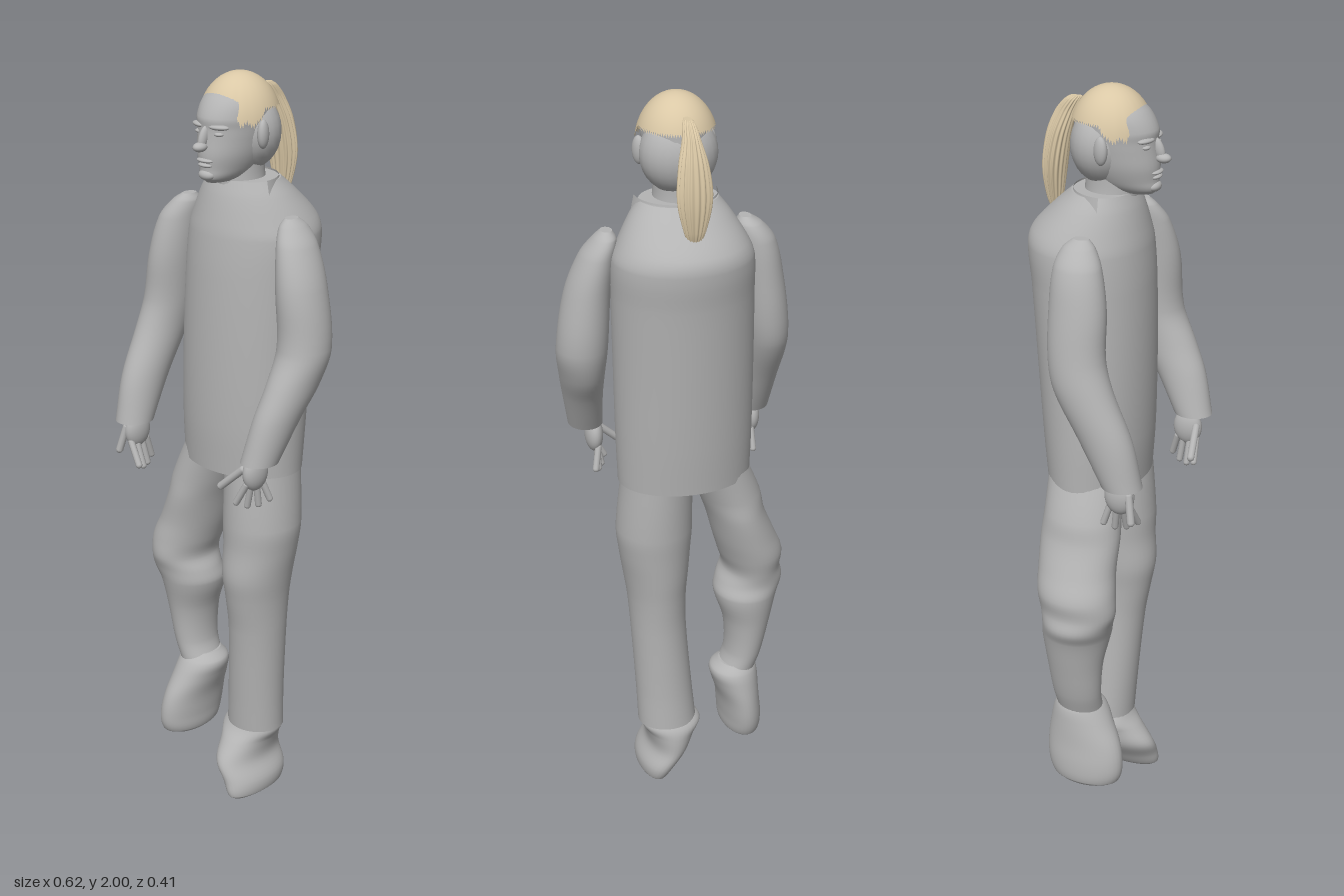
import * as THREE from 'three';

const grey = new THREE.MeshStandardMaterial({ color: 0xb4b4b4 });
grey.name = 'grey';
const blonde = new THREE.MeshStandardMaterial({ color: 0xdac8a6 });
blonde.name = 'blonde';

// Smooth curve through the sections, evaluated at height y between i and i + 1
function sample(s, i, t, k) {
  const slope = (j) => {
    const a = s[Math.max(j - 1, 0)], b = s[Math.min(j + 1, s.length - 1)];
    return (b[k] - a[k]) / (b[0] - a[0]);
  };
  const h = s[i + 1][0] - s[i][0], t2 = t * t, t3 = t2 * t;
  return (2 * t3 - 3 * t2 + 1) * s[i][k] + (t3 - 2 * t2 + t) * h * slope(i)
    + (3 * t2 - 2 * t3) * s[i + 1][k] + (t3 - t2) * h * slope(i + 1);
}

// Closed body from horizontal ovals [y, xMin, xMax, zMin, zMax], listed from bottom to top
function loft(sections, { n = 36, steps = 5, flutes = 0, depth = 0 } = {}) {
  const rings = [];
  for (let i = 0; i < sections.length - 1; i++)
    for (let j = 0; j < steps; j++) {
      const t = j / steps, y0 = sections[i][0];
      rings.push([y0 + t * (sections[i + 1][0] - y0), ...[1, 2, 3, 4].map((k) => sample(sections, i, t, k))]);
    }
  rings.push(sections[sections.length - 1]);
  const pos = [], idx = [];
  const ring = ([y, x0, x1, z0, z1]) => {
    for (let j = 0; j < n; j++) {
      const a = (j / n) * Math.PI * 2, r = 0.5 * (1 - depth + depth * Math.cos(a * flutes));
      pos.push((x0 + x1) / 2 + (x1 - x0) * r * Math.sin(a), y, (z0 + z1) / 2 + (z1 - z0) * r * Math.cos(a));
    }
  };
  rings.forEach(ring);
  for (let i = 0; i < rings.length - 1; i++)
    for (let j = 0; j < n; j++) {
      const a = i * n + j, b = i * n + (j + 1) % n;
      idx.push(a, b, a + n, b, b + n, a + n);
    }
  // End caps with their own vertices keep the rims sharp
  for (const top of [false, true]) {
    const r = top ? rings[rings.length - 1] : rings[0], start = pos.length / 3;
    ring(r);
    pos.push((r[1] + r[2]) / 2, r[0], (r[3] + r[4]) / 2);
    for (let j = 0; j < n; j++) {
      const a = start + j, b = start + (j + 1) % n;
      idx.push(start + n, top ? a : b, top ? b : a);
    }
  }
  const g = new THREE.BufferGeometry();
  g.setAttribute('position', new THREE.Float32BufferAttribute(pos, 3));
  g.setIndex(idx);
  g.computeVertexNormals();
  return g;
}

function add(parent, name, geometry, material = grey) {
  const m = new THREE.Mesh(geometry, material);
  m.name = name;
  parent.add(m);
  return m;
}

function ball(parent, name, p, s) {
  const m = add(parent, name, new THREE.SphereGeometry(1, 24, 16));
  m.position.set(...p);
  m.scale.set(...s);
  return m;
}

// Rounded finger between two points
function finger(parent, name, a, b, r) {
  const p = new THREE.Vector3(...a), d = new THREE.Vector3(...b).sub(p);
  const m = add(parent, name, new THREE.CapsuleGeometry(r, d.length(), 4, 10));
  m.position.copy(p).addScaledVector(d, 0.5);
  m.quaternion.setFromUnitVectors(new THREE.Vector3(0, 1, 0), d.normalize());
}

// Hair cap: an ellipsoid cut off along a ragged hairline
function hairCap() {
  const g = new THREE.SphereGeometry(1, 96, 16), p = g.attributes.position, uv = g.attributes.uv;
  const step = THREE.MathUtils.smoothstep;
  for (let i = 0; i < p.count; i++) {
    const a = uv.getX(i) * Math.PI * 2, t = uv.getY(i);
    const f = Math.abs(Math.atan2(Math.sin(a), Math.cos(a)));
    const rim = 0.5 - 0.42 * step(f, 0.55, 0.85) + 0.27 * step(f, 1.25, 1.5)
      + (f < 1.5 ? 0.04 * Math.sin(f * 21) : 0);
    const e = rim + t * (Math.PI / 2 - rim), c = Math.cos(e);
    p.setXYZ(i, 0.102 * c * Math.sin(a), 1.87 + 0.13 * Math.sin(e), 0.008 + 0.107 * c * Math.cos(a));
  }
  g.computeVertexNormals();
  return g;
}

export function createModel() {
  const model = new THREE.Group();
  model.name = 'walkingFigure';

  // Jacket
  add(model, 'jacket', loft([
    [0.97, -0.19, 0.165, -0.145, 0.11], [1.1, -0.192, 0.17, -0.158, 0.118],
    [1.3, -0.19, 0.175, -0.175, 0.12], [1.5, -0.185, 0.18, -0.192, 0.115],
    [1.6, -0.18, 0.18, -0.203, 0.107], [1.64, -0.165, 0.165, -0.192, 0.1],
    [1.7, -0.13, 0.13, -0.135, 0.085], [1.74, -0.1, 0.1, -0.09, 0.07],
  ], { n: 48 }));
  const collar = add(model, 'collar',
    new THREE.CylinderGeometry(0.106, 0.116, 0.05, 32, 1, true, Math.PI / 2, Math.PI),
    new THREE.MeshStandardMaterial().copy(grey));
  collar.material.side = THREE.DoubleSide;
  collar.position.set(0, 1.72, 0.02);

  // Sleeves
  add(model, 'leftSleeve', loft([
    [1.07, 0.165, 0.257, 0.1, 0.203], [1.18, 0.175, 0.28, 0.037, 0.175],
    [1.26, 0.18, 0.297, -0.015, 0.14], [1.35, 0.178, 0.31, -0.044, 0.1],
    [1.5, 0.17, 0.287, -0.047, 0.095], [1.6, 0.16, 0.248, -0.045, 0.075],
    [1.645, 0.155, 0.215, -0.033, 0.05], [1.665, 0.165, 0.195, -0.01, 0.03],
  ]));
  add(model, 'rightSleeve', loft([
    [1.06, -0.3, -0.203, 0.1, 0.205], [1.18, -0.307, -0.2, 0.037, 0.178],
    [1.3, -0.31, -0.192, -0.03, 0.125], [1.38, -0.303, -0.182, -0.048, 0.1],
    [1.5, -0.285, -0.168, -0.052, 0.095], [1.6, -0.26, -0.158, -0.048, 0.075],
    [1.645, -0.225, -0.155, -0.033, 0.05], [1.665, -0.195, -0.165, -0.01, 0.03],
  ]));

  // Hands
  const leftHand = new THREE.Group(), rightHand = new THREE.Group();
  leftHand.name = 'leftHand';
  rightHand.name = 'rightHand';
  model.add(leftHand, rightHand);
  ball(leftHand, 'palm', [0.19, 1.035, 0.145], [0.024, 0.05, 0.04]);
  ball(rightHand, 'palm', [-0.25, 1.03, 0.145], [0.024, 0.05, 0.04]);
  for (let i = 0; i < 4; i++) {
    const z = 0.172 - i * 0.018, tip = 0.95 - (i === 1 || i === 2 ? 0.012 : 0);
    finger(leftHand, 'finger', [0.185, 1.005, z], [0.155 + i * 0.014, tip, z + 0.006 - i * 0.008], 0.009);
    finger(rightHand, 'finger', [-0.245, 1.0, z], [-0.21 - i * 0.012, tip - 0.005, z + 0.006 - i * 0.008], 0.009);
  }
  finger(leftHand, 'thumb', [0.175, 1.045, 0.175], [0.11, 0.985, 0.188], 0.01);
  finger(rightHand, 'thumb', [-0.26, 1.04, 0.175], [-0.275, 0.975, 0.188], 0.01);

  // Trouser legs
  add(model, 'leftLeg', loft([
    [0.19, -0.045, 0.118, -0.09, 0.055], [0.3, -0.035, 0.122, -0.085, 0.062],
    [0.5, -0.02, 0.133, -0.085, 0.078], [0.6, -0.02, 0.14, -0.092, 0.095],
    [0.67, -0.026, 0.15, -0.1, 0.106], [0.75, -0.03, 0.163, -0.108, 0.1],
    [0.82, -0.034, 0.17, -0.115, 0.1], [1.02, -0.03, 0.15, -0.125, 0.09],
  ]));
  add(model, 'rightLeg', loft([
    [0.32, -0.22, -0.115, -0.07, 0.055], [0.38, -0.24, -0.137, -0.075, 0.06],
    [0.48, -0.262, -0.133, -0.085, 0.07], [0.57, -0.282, -0.106, -0.097, 0.09],
    [0.61, -0.298, -0.115, -0.09, 0.1], [0.65, -0.29, -0.132, -0.095, 0.112],
    [0.7, -0.293, -0.118, -0.105, 0.108], [0.76, -0.268, -0.1, -0.112, 0.1],
    [0.84, -0.235, -0.078, -0.118, 0.1], [0.9, -0.222, -0.055, -0.115, 0.095],
    [1.02, -0.17, -0.01, -0.12, 0.085],
  ]));

  // Shoes
  add(model, 'leftShoe', loft([
    [0, 0.045, 0.1, -0.06, 0.105], [0.012, 0.032, 0.113, -0.078, 0.12],
    [0.05, 0.008, 0.113, -0.095, 0.122], [0.1, -0.025, 0.09, -0.1, 0.12],
    [0.15, -0.043, 0.096, -0.1, 0.085], [0.18, -0.058, 0.11, -0.093, 0.058],
    [0.21, -0.03, 0.1, -0.07, 0.04],
  ]));
  add(model, 'rightShoe', loft([
    [0.1, -0.23, -0.15, -0.06, 0.09], [0.115, -0.243, -0.135, -0.078, 0.115],
    [0.16, -0.245, -0.13, -0.092, 0.125], [0.22, -0.238, -0.122, -0.095, 0.115],
    [0.28, -0.232, -0.103, -0.09, 0.085], [0.32, -0.226, -0.095, -0.082, 0.062],
    [0.345, -0.215, -0.12, -0.065, 0.04],
  ]));

  // Head and neck
  const head = new THREE.Group();
  head.name = 'head';
  model.add(head);
  add(head, 'neck', loft([
    [1.68, -0.075, 0.075, -0.07, 0.07], [1.74, -0.06, 0.06, -0.06, 0.075], [1.82, -0.058, 0.058, -0.06, 0.07],
  ]));
  add(head, 'face', loft([
    [1.74, -0.025, 0.025, 0.02, 0.118], [1.752, -0.043, 0.043, -0.02, 0.132],
    [1.775, -0.058, 0.058, -0.05, 0.132], [1.81, -0.071, 0.071, -0.07, 0.134],
    [1.85, -0.078, 0.078, -0.08, 0.13], [1.875, -0.081, 0.081, -0.085, 0.128],
    [1.9, -0.083, 0.083, -0.085, 0.128], [1.94, -0.078, 0.078, -0.08, 0.105],
    [1.97, -0.05, 0.05, -0.06, 0.07],
  ]));
  ball(head, 'backOfHead', [0, 1.852, -0.01], [0.098, 0.1, 0.084]);

  // Features
  ball(head, 'noseBridge', [0, 1.853, 0.133], [0.01, 0.03, 0.014]).rotation.x = -0.35;
  ball(head, 'noseTip', [0, 1.832, 0.145], [0.016, 0.012, 0.02]);
  ball(head, 'upperLip', [0, 1.797, 0.128], [0.026, 0.006, 0.014]);
  ball(head, 'lowerLip', [0, 1.785, 0.127], [0.022, 0.006, 0.013]);
  ball(head, 'chin', [0, 1.76, 0.122], [0.024, 0.014, 0.017]);
  for (const s of [-1, 1]) {
    ball(head, 'eye', [s * 0.032, 1.863, 0.112], [0.014, 0.006, 0.012]);
    ball(head, 'brow', [s * 0.034, 1.88, 0.114], [0.027, 0.007, 0.013]).rotation.y = s * 0.35;
    ball(head, 'ear', [s * 0.092, 1.858, 0.02], [0.014, 0.036, 0.02]).rotation.y = s * 0.4;
  }

  // Hair and ponytail
  const hair = add(head, 'hairCap', hairCap(), blonde);
  hair.material.side = THREE.DoubleSide;
  add(head, 'ponytail', loft([
    [1.655, -0.01, 0.01, -0.152, -0.135], [1.7, -0.028, 0.028, -0.168, -0.128],
    [1.78, -0.045, 0.045, -0.177, -0.118], [1.86, -0.038, 0.038, -0.168, -0.105],
    [1.92, -0.022, 0.022, -0.145, -0.088], [1.95, -0.016, 0.016, -0.12, -0.075],
    [1.96, -0.01, 0.01, -0.105, -0.07],
  ], { n: 96, flutes: 16, depth: 0.07 }), blonde);

  return model;
}
